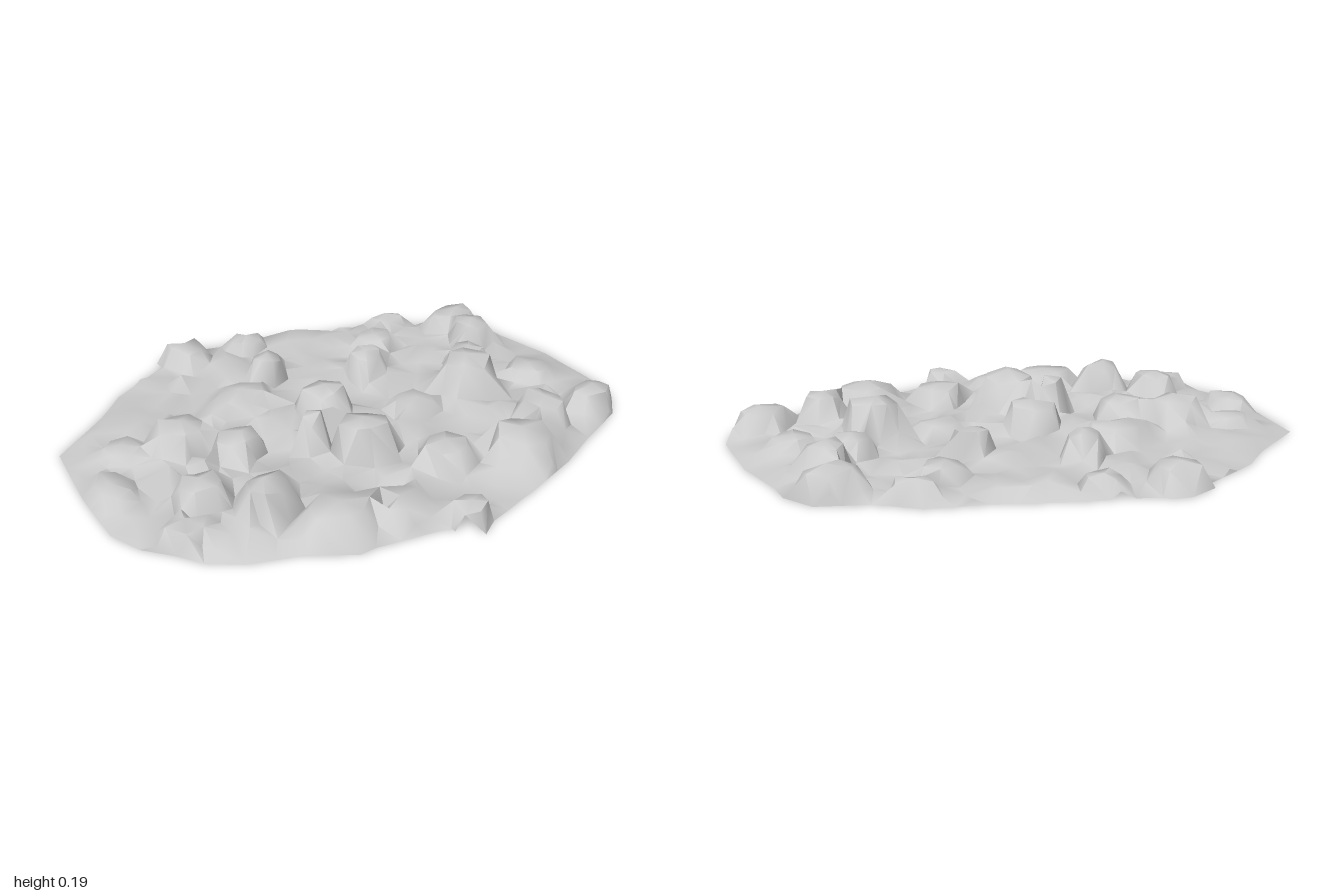
import * as THREE from 'three';
import { toCreasedNormals } from 'three/addons/utils/BufferGeometryUtils.js';

// Ground outline as x, z pairs
const OUTLINE = [
  [-0.93, -0.40], [-0.69, -0.55], [-0.57, -0.65], [-0.32, -0.76], [-0.32, -0.80], [-0.21, -0.84],
  [-0.14, -0.83], [-0.12, -0.80], [0.04, -0.75], [0.14, -0.72], [0.40, -0.62], [0.60, -0.57],
  [0.73, -0.46], [0.90, -0.40], [0.96, -0.28], [0.96, -0.18], [1.0, 0.05], [0.99, 0.36],
  [0.95, 0.46], [0.87, 0.54], [0.67, 0.61], [0.50, 0.68], [0.28, 0.74], [0.05, 0.79],
  [-0.02, 0.83], [-0.09, 0.76], [-0.09, 0.74], [-0.35, 0.68], [-0.41, 0.68], [-0.55, 0.58],
  [-0.73, 0.51], [-0.83, 0.43], [-0.88, 0.35], [-0.96, 0.25], [-1.0, 0.13], [-0.98, -0.12],
];

// Stones, most prominent first: x, z, half width, half depth, top height
const STONES = [
  [-0.08, 0.25, 0.12, 0.12, 0.185], [0.51, 0.12, 0.12, 0.12, 0.185], [-0.54, 0.34, 0.11, 0.10, 0.155],
  [-0.03, -0.06, 0.11, 0.11, 0.15], [-0.18, 0.13, 0.09, 0.09, 0.18], [-0.57, -0.17, 0.12, 0.12, 0.135],
  [-0.05, -0.41, 0.08, 0.08, 0.13], [0.28, -0.21, 0.09, 0.09, 0.13], [-0.69, 0.18, 0.11, 0.10, 0.13],
  [0.78, -0.17, 0.09, 0.10, 0.14], [0.59, 0.45, 0.09, 0.12, 0.13], [0.82, -0.33, 0.13, 0.09, 0.11],
  [-0.22, -0.74, 0.10, 0.13, 0.09], [0.39, 0.56, 0.14, 0.14, 0.125], [-0.25, -0.28, 0.14, 0.11, 0.10],
  [0.13, 0.45, 0.11, 0.11, 0.11], [0.83, 0.46, 0.12, 0.09, 0.10], [0.65, -0.04, 0.10, 0.09, 0.11],
  [0.60, -0.50, 0.09, 0.09, 0.08], [-0.02, 0.75, 0.09, 0.08, 0.085], [-0.90, -0.05, 0.08, 0.14, 0.07],
  [-0.81, 0.29, 0.11, 0.09, 0.08], [-0.42, -0.02, 0.12, 0.09, 0.11], [-0.38, 0.52, 0.16, 0.12, 0.10],
  [0.03, -0.68, 0.09, 0.08, 0.07], [-0.18, 0.58, 0.12, 0.11, 0.08], [0.45, -0.38, 0.10, 0.09, 0.08],
  [0.80, 0.16, 0.10, 0.11, 0.07], [0.27, 0.10, 0.11, 0.10, 0.07], [-0.75, -0.25, 0.10, 0.09, 0.06],
];

function makeRandom(seed) {
  return () => (seed = (seed * 16807) % 2147483647) / 2147483647;
}

function insideOutline(x, z) {
  let inside = false;
  OUTLINE.forEach(([ax, az], i) => {
    const [bx, bz] = OUTLINE[(i + 1) % OUTLINE.length];
    if (az > z !== bz > z && x < ax + ((z - az) / (bz - az)) * (bx - ax)) inside = !inside;
  });
  return inside;
}

const insideStone = ([sx, sz, rx, rz], x, z) => Math.hypot((x - sx) / rx, (z - sz) / rz) < 1;

// Triangle with its circumscribed circle in the ground plane
function makeTriangle(points, a, b, c) {
  const [ax, , az] = points[a];
  const bx = points[b][0] - ax, bz = points[b][2] - az, cx = points[c][0] - ax, cz = points[c][2] - az;
  const d = 2 * (bx * cz - bz * cx), b2 = bx * bx + bz * bz, c2 = cx * cx + cz * cz;
  const ux = (cz * b2 - bz * c2) / d, uz = (bx * c2 - cx * b2) / d;
  return { corners: d < 0 ? [a, b, c] : [a, c, b], x: ax + ux, z: az + uz, r2: ux * ux + uz * uz };
}

// Joins scattered points into an even net by inserting them one at a time
function triangulate(source) {
  const n = source.length;
  const points = [...source, [-60, 0, -41], [63, 0, -39], [1, 0, 70]];
  let triangles = [makeTriangle(points, n, n + 1, n + 2)];
  for (let p = 0; p < n; p++) {
    const [x, , z] = points[p];
    const edges = new Map();
    triangles = triangles.filter((t) => {
      if ((x - t.x) ** 2 + (z - t.z) ** 2 >= t.r2) return true;
      t.corners.forEach((a, i) => {
        const b = t.corners[(i + 1) % 3], key = Math.min(a, b) + '_' + Math.max(a, b);
        if (!edges.delete(key)) edges.set(key, [a, b]);
      });
      return false;
    });
    for (const [a, b] of edges.values()) triangles.push(makeTriangle(points, a, b, p));
  }
  return triangles.map((t) => t.corners).filter((c) => c.every((i) => i < n));
}

function scatterPoints() {
  const random = makeRandom(4711);
  const jitter = (size) => (random() - 0.5) * size;
  const points = [];
  const isClear = (x, z, gap) => points.every((p) => Math.hypot(p[0] - x, p[2] - z) > gap);

  // Rim
  OUTLINE.forEach(([x, z], i) => {
    const [nx, nz] = OUTLINE[(i + 1) % OUTLINE.length];
    const n = Math.max(1, Math.round(Math.hypot(nx - x, nz - z) / 0.09));
    points.push([x, 0, z]);
    for (let k = 1; k < n; k++) {
      points.push([x + ((nx - x) * k) / n + jitter(0.004), 0, z + ((nz - z) * k) / n + jitter(0.004)]);
    }
  });

  // Stones: a foot ring, a shoulder ring and a peak
  STONES.forEach((stone, index) => {
    const [x, z, rx, rz, top] = stone;
    const add = (px, y, pz, gap) => {
      const buried = STONES.slice(0, index).some((other) => insideStone(other, px, pz));
      if (!buried && insideOutline(px, pz) && isClear(px, pz, gap)) points.push([px, y, pz]);
    };
    const turn = random() * 6.28, sides = 7;
    add(x + jitter(0.02), top, z + jitter(0.02), 0.02);
    for (const [reach, low, high] of [[0.68, 0.78, 0.97], [1.02, 0.15, 0.4]]) {
      for (let i = 0; i < sides; i++) {
        const a = turn + ((i + jitter(0.5)) / sides) * Math.PI * 2, r = reach + jitter(0.12);
        add(x + Math.cos(a) * rx * r, top * (low + (high - low) * random()), z + Math.sin(a) * rz * r, 0.022);
      }
    }
  });

  // Lumpy ground between the stones, calmer towards the rim
  for (let gx = -1; gx <= 1; gx += 0.075) {
    for (let gz = -0.84; gz <= 0.84; gz += 0.075) {
      const x = gx + jitter(0.06), z = gz + jitter(0.06);
      const lump = 0.015 + 0.055 * random() ** 1.4;
      const calm = 1 - 0.7 * THREE.MathUtils.smoothstep(Math.hypot(x, z * 1.25), 0.75, 1);
      const free = !STONES.some((s) => insideStone(s, x, z));
      if (free && insideOutline(x, z) && isClear(x, z, 0.04)) points.push([x, lump * calm, z]);
    }
  }
  return points;
}

export function createModel() {
  const points = scatterPoints();
  const triangles = triangulate(points).filter((corners) => {
    const middle = (axis) => corners.reduce((sum, i) => sum + points[i][axis], 0) / 3;
    return insideOutline(middle(0), middle(2));
  });

  // One open sheet, hollow below the stones
  const geometry = new THREE.BufferGeometry();
  geometry.setAttribute('position', new THREE.Float32BufferAttribute(points.flat(), 3));
  geometry.setIndex(triangles.flat());
  const material = new THREE.MeshStandardMaterial({ color: 0xcccccc, side: THREE.DoubleSide });
  const rubble = new THREE.Mesh(toCreasedNormals(geometry, 1.0), material);
  rubble.name = 'rubbleGround';

  const group = new THREE.Group();
  group.name = 'rubblePatch';
  group.add(rubble);
  return group;
}
